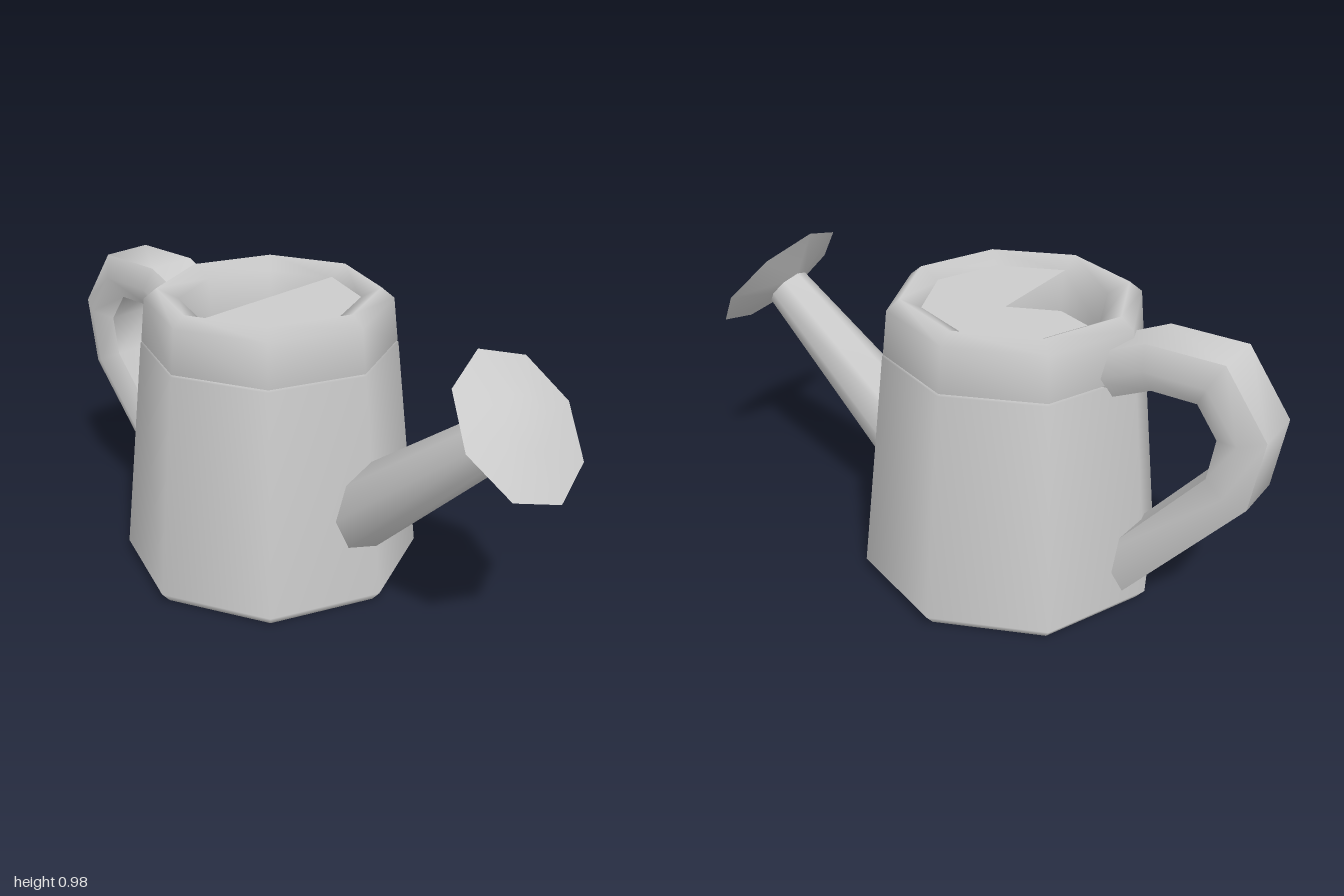
import * as THREE from 'three';
import { toCreasedNormals } from 'three/addons/utils/BufferGeometryUtils.js';

const material = new THREE.MeshStandardMaterial({ color: 0xcccccc, side: THREE.DoubleSide });
const BODY_Z = -0.135;
const SIDES = 8;

function addPart(group, name, geometry) {
  const mesh = new THREE.Mesh(geometry, material);
  mesh.name = name;
  group.add(mesh);
  return mesh;
}

// Eight-sided turned part from [radius, height] pairs
function turned(profile) {
  return new THREE.LatheGeometry(profile.map(([r, y]) => new THREE.Vector2(r, y)), SIDES);
}

// Sweep a closed section [x, offset] along a path of [z, y] points, with end caps
function sweep(section, path) {
  const pts = path.map(([z, y]) => new THREE.Vector2(z, y));
  const n = section.length;
  const positions = [];
  const index = [];
  pts.forEach((p, i) => {
    const before = p.clone().sub(pts[Math.max(i - 1, 0)]).normalize();
    const after = pts[Math.min(i + 1, pts.length - 1)].clone().sub(p).normalize();
    const dir = before.clone().add(after).normalize();
    const ref = i === 0 ? after : before;
    const miter = 1 / Math.max(dir.dot(ref), 0.7);
    for (const [x, o] of section) {
      positions.push(x, p.y - dir.x * o * miter, p.x + dir.y * o * miter);
    }
  });
  for (let i = 0; i < pts.length - 1; i++) {
    for (let j = 0; j < n; j++) {
      const a = i * n + j, b = i * n + (j + 1) % n;
      index.push(a, b, a + n, b, b + n, a + n);
    }
  }
  const last = (pts.length - 1) * n;
  for (let j = 1; j < n - 1; j++) {
    index.push(0, j + 1, j, last, last + j, last + j + 1);
  }
  const geometry = new THREE.BufferGeometry();
  geometry.setAttribute('position', new THREE.Float32BufferAttribute(positions, 3));
  geometry.setIndex(index);
  geometry.computeVertexNormals();
  return toCreasedNormals(geometry, 1.1);
}

export function createModel() {
  const model = new THREE.Group();
  model.name = 'wateringCan';

  // Tapered body with a bevelled foot
  const body = addPart(model, 'body', turned([
    [0, 0], [0.47, 0], [0.5, 0.035], [0.42, 0.775], [0.4, 0.778], [0, 0.778],
  ]));
  body.position.z = BODY_Z;

  // Rounded collar with the filling hole's inner wall
  const collar = addPart(model, 'collar', turned([
    [0.39, 0.78], [0.417, 0.782], [0.402, 0.925], [0.36, 0.96], [0.29, 0.925], [0.28, 0.79],
  ]));
  collar.position.z = BODY_Z;

  // Half cover closing the front of the opening
  const cover = addPart(model, 'halfCover',
    new THREE.CircleGeometry(0.295, SIDES / 2, Math.PI, Math.PI));
  cover.rotation.x = -Math.PI / 2;
  cover.position.set(0, 0.928, BODY_Z);

  // Spout and sprinkler head share one axis, tilted up and forward
  const spout = new THREE.Group();
  spout.name = 'spoutAssembly';
  spout.position.set(0, 0.79, 0.845);
  spout.rotation.x = THREE.MathUtils.degToRad(50);
  model.add(spout);
  addPart(spout, 'spout', turned([[0, -0.8], [0.13, -0.8], [0.076, -0.045]]));
  addPart(spout, 'sprinklerHead', toCreasedNormals(
    turned([[0.076, -0.048], [0.243, 0], [0.09, 0.028], [0, 0.03]]), 0.9));

  // Flattened tube handle looping behind the body
  addPart(model, 'handle', sweep(
    [[0.12, 0], [0.085, 0.07], [-0.085, 0.07], [-0.12, 0], [-0.085, -0.07], [0.085, -0.07]],
    [[-0.46, 0.79], [-0.63, 0.866], [-0.825, 0.864], [-0.93, 0.716], [-0.902, 0.535], [-0.54, 0.115]]));

  return model;
}
